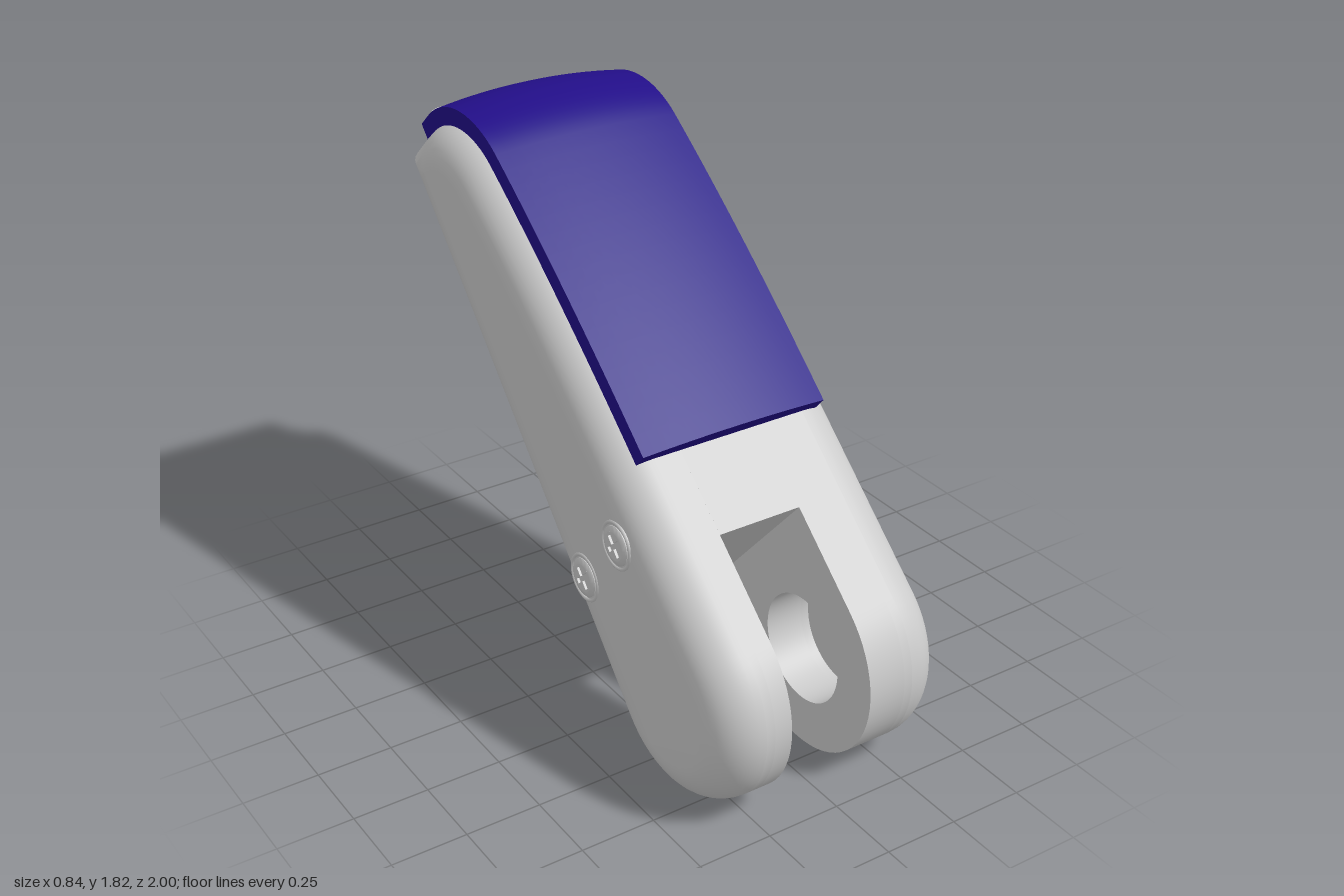
import * as THREE from 'three';
import { toCreasedNormals } from 'three/addons/utils/BufferGeometryUtils.js';

// Local frame: X runs along the underside, Y out of it, Z across the width.
const grey = new THREE.MeshStandardMaterial({ color: 0xcccccc });
const blue = new THREE.MeshStandardMaterial({ color: 0x220e88 });
const V2 = (x, y) => new THREE.Vector2(x, y);
const list = (pairs) => pairs.map(([x, y]) => V2(x, y));
const FLAT = 0.27, EDGE = 0.14, END_R = 0.34;

function mesh(name, geometry, material = grey) {
  const m = new THREE.Mesh(geometry, material);
  m.name = name;
  return m;
}

// Skins closed rings of points and caps both ends.
function loft(rings, firstCap, lastCap, flip = false) {
  const n = rings[0].length, last = (rings.length - 1) * n, tris = [];
  for (let k = 0; k < rings.length - 1; k++) {
    for (let i = 0; i < n; i++) {
      const a = k * n + i, b = k * n + (i + 1) % n;
      tris.push([a, b, a + n], [b, b + n, a + n]);
    }
  }
  THREE.ShapeUtils.triangulateShape(firstCap, []).forEach(([a, b, c]) => tris.push([a, c, b]));
  THREE.ShapeUtils.triangulateShape(lastCap, []).forEach(([a, b, c]) => tris.push([a + last, b + last, c + last]));
  const g = new THREE.BufferGeometry().setFromPoints(rings.flat());
  g.setIndex(tris.flatMap(([a, b, c]) => (flip ? [a, c, b] : [a, b, c])));
  return toCreasedNormals(g, 0.6);
}

// Top outline, from the straight part to the far end.
const top = new THREE.Path().moveTo(0.67, 0.606)
  .quadraticCurveTo(1.25, 0.545, 1.72, 0.445)
  .bezierCurveTo(1.85, 0.418, 1.975, 0.3, 1.975, 0.15).getPoints(16);

const roundFront = [];
for (let i = 0; i <= 32; i++) {
  const a = 1.456 + (1.5 * Math.PI - 1.456) * i / 32;
  roundFront.push(V2(END_R * Math.cos(a), END_R + END_R * Math.sin(a)));
}
const slotFront = list([[0.39, 0.638], [0.32, 0]]);
const profile = (floor, front) => [...floor, ...[...top].reverse(), ...front];

// Undersides: open recess, and the narrower rim strip beside it.
const recess = list([[0.6, 0], [0.6, 0.13], [1.3, 0.05], [1.3, 0.162], [1.975, 0.041]]);
const rim = list([[0.6, 0], [0.6, 0.13], [0.7, 0.11], [0.72, 0], [1.3, 0], [1.3, 0.162], [1.975, 0.041]]);

// Outer cheek with rounded edges and a small scoop beside the plate screws.
function cheek(side) {
  const floor = [V2(0.4, 0), V2(1, 0)];
  for (let u = 1.58; u < 1.85; u += 0.02) floor.push(V2(u, 0));
  floor.push(V2(1.975, 0));
  const pts = profile(floor, roundFront), n = pts.length;
  const edgeNormal = (a, b) => V2(a.y - b.y, b.x - a.x).normalize();
  const inward = pts.map((p, i) => {
    const n0 = edgeNormal(pts[(i + n - 1) % n], p), n1 = edgeNormal(p, pts[(i + 1) % n]);
    return n0.clone().add(n1).divideScalar(1 + n0.dot(n1));
  });
  const rings = [];
  for (let k = 0; k <= 10; k++) {
    const a = k / 10 * Math.PI / 2, across = EDGE * Math.sin(a), inset = EDGE * (1 - Math.cos(a));
    rings.push(pts.map((p, i) => {
      const q = p.clone().addScaledVector(inward[i], inset);
      const d2 = 0.0121 - (q.x - 1.71) ** 2 - across ** 2;
      if (d2 > 0 && q.y < 0.1) q.y = Math.max(q.y, 0.4 * Math.sqrt(d2));
      return new THREE.Vector3(q.x, q.y, side * (FLAT + across));
    }));
  }
  const flat = (ring) => ring.map((p) => V2(p.x, p.y));
  return loft(rings, flat(rings[0]), flat(rings[10]), side < 0);
}

// One slab of the body between two positions across the width.
function slab(z0, z1, floor, front, hole) {
  const s = new THREE.Shape(profile(floor, front));
  if (hole) s.holes.push(new THREE.Path().absarc(0, END_R, 0.18, 0, Math.PI * 2, true));
  const g = new THREE.ExtrudeGeometry(s, { depth: z1 - z0, bevelEnabled: false, curveSegments: 40 });
  return toCreasedNormals(g.translate(0, 0, z0), 0.6);
}

// Crowned cover following the top outline.
function coverGeometry() {
  const path = [...top, V2(1.975, 0.09)], section = [];
  for (let i = 0; i <= 16; i++) {
    const t = i / 8 - 1;
    section.push(V2(0.045 + 0.025 * (1 - t * t), 0.33 * t));
  }
  section.push(V2(-0.025, 0.33), V2(-0.025, -0.33));
  const rings = path.map((p, i) => {
    const a = path[Math.max(i - 1, 0)], b = path[Math.min(i + 1, path.length - 1)];
    const nrm = V2(a.y - b.y, b.x - a.x).normalize();
    return section.map((s) => new THREE.Vector3(p.x + nrm.x * s.x, p.y + nrm.y * s.x, s.y));
  });
  return loft(rings, section, section);
}

// Cross-head screw pointing along +Z.
function screw(name, r, h) {
  const g = new THREE.Group(), d = Math.min(0.02, h * 0.7), ri = 0.72 * r;
  g.name = name;
  const head = new THREE.LatheGeometry(list([[r, 0], [r, 0.4 * h], [0.93 * r, 0.75 * h], [ri, h], [ri, h - d], [0, h - d]]), 32);
  g.add(mesh('screwHead', toCreasedNormals(head.rotateX(Math.PI / 2), 0.7)));
  const face = new THREE.Shape().absarc(0, 0, ri, 0, Math.PI * 2, false);
  const w = 0.13 * r, l = 0.58 * r;
  face.holes.push(new THREE.Path(list([[w, w], [w, l], [-w, l], [-w, w], [-l, w], [-l, -w],
    [-w, -w], [-w, -l], [w, -l], [w, -w], [l, -w], [l, w], [w, w]])));
  const faceGeo = new THREE.ExtrudeGeometry(face, { depth: d, bevelEnabled: false, curveSegments: 32 });
  g.add(mesh('crossRecess', faceGeo.translate(0, 0, h - d)));
  return g;
}

// Tilted plate with two slots and their screws.
function plateGroup() {
  const g = new THREE.Group();
  g.name = 'adjustingPlate';
  const w = 0.28, r = 0.07, s = new THREE.Shape();
  s.moveTo(-0.8, -w).lineTo(-r, -w).absarc(-r, -w + r, r, -Math.PI / 2, 0, false)
    .absarc(-r, w - r, r, 0, Math.PI / 2, false).lineTo(-0.8, w);
  for (const x of [-0.13, 0.13]) {
    s.holes.push(new THREE.Path().absarc(-0.25, x, 0.03, -Math.PI / 2, Math.PI / 2, false)
      .absarc(-0.48, x, 0.03, Math.PI / 2, 1.5 * Math.PI, false));
    const sc = screw('plateScrew', 0.078, 0.065);
    sc.rotation.x = Math.PI / 2;
    sc.position.set(-0.38, -0.028, x);
    g.add(sc);
  }
  const geo = new THREE.ExtrudeGeometry(s, { depth: 0.03, bevelEnabled: false, curveSegments: 12 });
  g.add(mesh('slottedPlate', toCreasedNormals(geo.rotateX(Math.PI / 2), 0.6)));
  g.position.set(2.09, 0.02, 0);
  g.rotation.z = -Math.atan(0.18);
  return g;
}

export function createModel() {
  const model = new THREE.Group(), tilted = new THREE.Group();
  model.name = 'hingedHandle';
  tilted.name = 'tiltedAssembly';

  // Body: inner slabs leave the fork slot, blind pin holes and underside recess.
  const body = new THREE.Group();
  body.name = 'body';
  body.add(
    mesh('rightRim', slab(-FLAT, -0.24, rim, roundFront, true)),
    mesh('rightLug', slab(-0.24, -0.18, recess, roundFront, true)),
    mesh('middle', slab(-0.18, 0.11, recess, slotFront, false)),
    mesh('leftLug', slab(0.11, 0.24, recess, roundFront, true)),
    mesh('leftRim', slab(0.24, FLAT, rim, roundFront, true)),
    mesh('leftCheek', cheek(1)),
    mesh('rightCheek', cheek(-1)));
  tilted.add(body, mesh('cover', coverGeometry(), blue), plateGroup());

  // Two ringed screws on each flank.
  for (const side of [1, -1]) {
    for (const [u, v] of [[0.48, 0.438], [0.447, 0.16]]) {
      const sc = screw('sideScrew', 0.064, 0.012);
      sc.add(mesh('screwRing', new THREE.TorusGeometry(0.075, 0.007, 8, 36)));
      sc.position.set(u, v, side * 0.407);
      if (side < 0) sc.rotation.y = Math.PI;
      tilted.add(sc);
    }
  }

  // Lean the handle back.
  tilted.rotation.setFromRotationMatrix(new THREE.Matrix4().makeBasis(
    new THREE.Vector3(0, 0.742, -0.671).normalize(),
    new THREE.Vector3(0, 0.671, 0.742).normalize(),
    new THREE.Vector3(1, 0, 0)));
  tilted.position.set(0, 0.111, 0.4065);
  model.add(tilted);
  return model;
}
